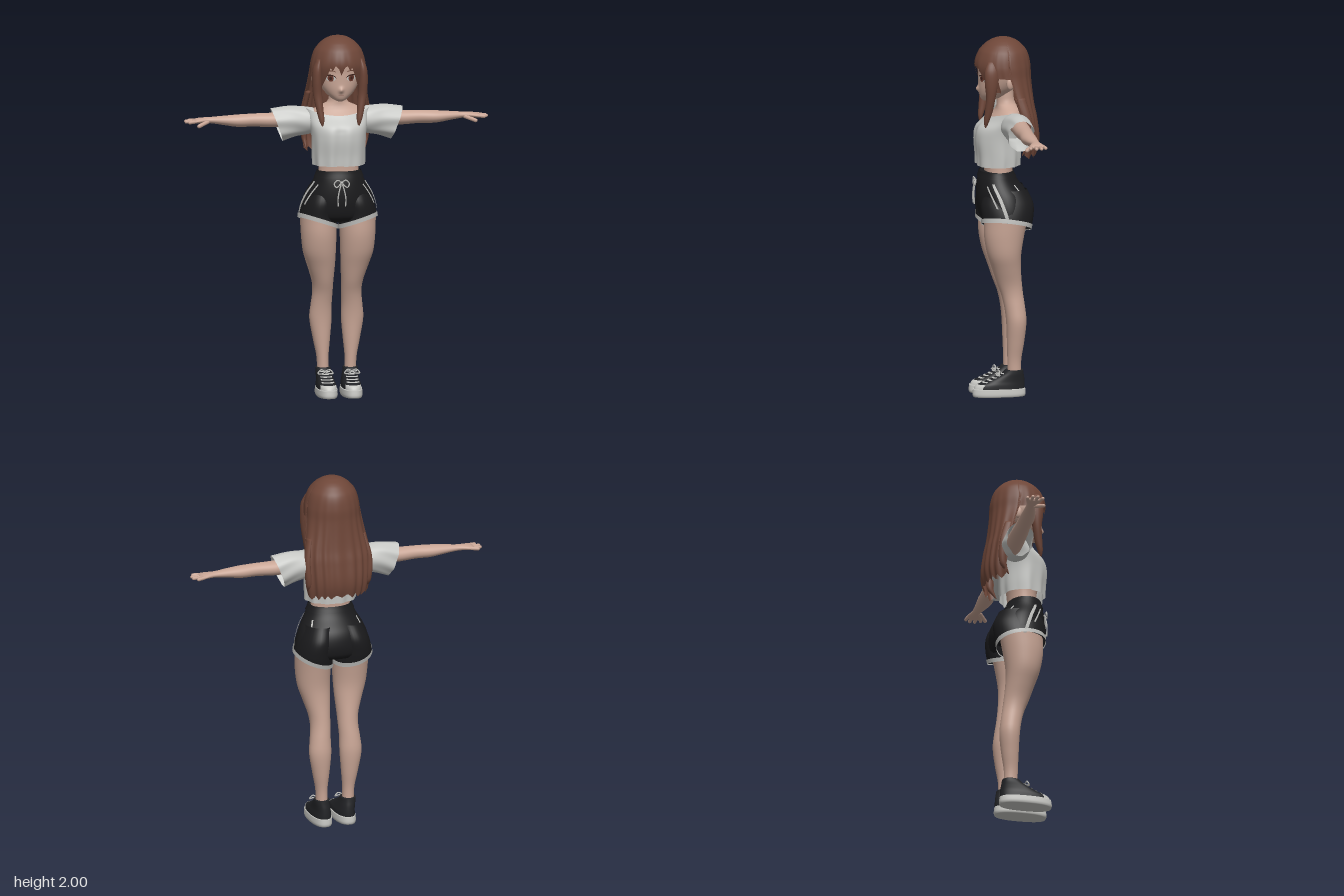
import * as THREE from 'three';

const mat = (name, color) => {
  const m = new THREE.MeshStandardMaterial({ color, side: THREE.DoubleSide });
  m.name = name;
  return m;
};
const TAU = Math.PI * 2;
const clamp = THREE.MathUtils.clamp;
const V = (x, y, z) => new THREE.Vector3(x, y, z);

// Smooth cross-section at height y; rows are [y, centreX, halfWidth, zFront, zBack]
function section(rows, y) {
  let i = 0;
  while (i < rows.length - 2 && y > rows[i + 1][0]) i++;
  const at = k => rows[clamp(k, 0, rows.length - 1)];
  const p = at(i - 1), a = at(i), b = at(i + 1), q = at(i + 2);
  const h = b[0] - a[0], t = clamp((y - a[0]) / h, 0, 1), t2 = t * t, t3 = t2 * t;
  return [1, 2, 3, 4].map(k => {
    const m0 = (b[k] - p[k]) / (b[0] - p[0]) * h, m1 = (q[k] - a[k]) / (q[0] - a[0]) * h;
    return (2 * t3 - 3 * t2 + 1) * a[k] + (t3 - 2 * t2 + t) * m0 + (3 * t2 - 2 * t3) * b[k] + (t3 - t2) * m1;
  });
}

// Skin through the rows; angle 0 is the front, rising towards +x. With `angle` it makes an open patch.
function loft(rows, o = {}) {
  const seg = o.seg ?? 36, n = o.n ?? 28, cols = o.angle ? seg + 1 : seg, pos = [], idx = [];
  const power = o.power ?? 1, inf = o.inflate ?? 0;
  const bend = v => Math.sign(v) * Math.abs(v) ** power;
  for (let j = 0; j <= n; j++) for (let i = 0; i < cols; i++) {
    const t = o.ease ? o.ease(j / n) : j / n;
    const a = o.angle ? o.angle(i / seg, t) : i / seg * TAU;
    const [y0, y1] = o.range ? o.range(a) : [rows[0][0], rows[rows.length - 1][0]];
    const y = y0 + (y1 - y0) * t, [cx, hw, zf, zb] = section(rows, y);
    const p = V(cx + (hw + inf) * bend(Math.sin(a)), y, (zf + zb) / 2 + ((zf - zb) / 2 + inf) * bend(Math.cos(a)));
    if (o.warp) o.warp(p, a, t);
    pos.push(p.x, p.y, p.z);
  }
  for (let j = 0; j < n; j++) for (let i = 0; i < seg; i++) {
    const k = (i + 1) % cols, a = j * cols + i, b = j * cols + k;
    idx.push(a, b, b + cols, a, b + cols, a + cols);
  }
  if (o.cap) for (const j of [0, n]) {
    const c = pos.length / 3, m = V(0, 0, 0);
    for (let i = 0; i < cols; i++) m.add(V(...pos.slice((j * cols + i) * 3, (j * cols + i) * 3 + 3)));
    m.divideScalar(cols);
    pos.push(m.x, m.y, m.z);
    for (let i = 0; i < seg; i++) {
      const a = j * cols + i, b = j * cols + (i + 1) % cols;
      j ? idx.push(c, a, b) : idx.push(c, b, a);
    }
  }
  const g = new THREE.BufferGeometry();
  g.setAttribute('position', new THREE.Float32BufferAttribute(pos, 3));
  g.setIndex(idx);
  g.computeVertexNormals();
  return g;
}

function mirrored(geo) {
  const g = geo.clone().scale(-1, 1, 1), ix = g.index.array;
  for (let i = 0; i < ix.length; i += 3) [ix[i], ix[i + 1]] = [ix[i + 1], ix[i]];
  return g;
}
function finger(a, b, r) {
  const d = b.clone().sub(a), g = new THREE.CapsuleGeometry(r, d.length(), 4, 10);
  g.applyQuaternion(new THREE.Quaternion().setFromUnitVectors(V(0, 1, 0), d.clone().normalize()));
  return g.translate((a.x + b.x) / 2, (a.y + b.y) / 2, (a.z + b.z) / 2);
}
const cord = (pts, r) => new THREE.TubeGeometry(new THREE.CatmullRomCurve3(pts.map(p => V(...p))), 24, r, 6);

export function createModel() {
  const root = new THREE.Group();
  root.name = 'girl';
  const skin = mat('skin', 0xc8a595), hair = mat('brown hair', 0x6e4638), cloth = mat('shirt grey', 0xc6c7c4);
  const black = mat('shorts black', 0x1a1a1c), trim = mat('trim white', 0xbcbcb9), shoe = mat('shoe black', 0x222326);
  const rubber = mat('rubber white', 0xc6c6c2), iris = mat('eye brown', 0x6b3a2e), lash = mat('lash dark', 0x3c221b);
  const lip = mat('lip', 0xa97c70);
  const add = (name, geo, m) => {
    const mesh = new THREE.Mesh(geo, m);
    mesh.name = name;
    root.add(mesh);
  };
  const pair = (name, geo, m) => {
    add(name + 'Left', geo, m);
    add(name + 'Right', mirrored(geo), m);
  };

  // Torso and neck
  add('torso', loft([[1.2, 0, .115, .115, -.04], [1.3, 0, .11, .115, -.045], [1.4, 0, .12, .13, -.06],
    [1.5, 0, .135, .12, -.08], [1.56, 0, .15, .08, -.092], [1.595, 0, .125, .05, -.088],
    [1.625, 0, .06, .045, -.06], [1.66, 0, .048, .045, -.05], [1.74, 0, .047, .05, -.045]]), skin);

  // Legs
  pair('leg', loft([[.1, .075, .033, -.004, -.08], [.2, .078, .033, -.003, -.08], [.3, .083, .047, 0, -.095],
    [.42, .088, .062, .005, -.107], [.5, .085, .058, .015, -.1], [.57, .08, .056, .032, -.09],
    [.63, .082, .06, .055, -.083], [.72, .093, .077, .085, -.075], [.8, .104, .091, .112, -.075],
    [.9, .108, .098, .13, -.09], [1, .11, .1, .13, -.11]], { n: 40 }), skin);

  // Arms are lofted upright and laid along x
  const lay = g => g.rotateZ(-Math.PI / 2);
  pair('arm', lay(loft([[.1, -1.535, .048, 0, -.095], [.2, -1.53, .044, 0, -.097], [.36, -1.525, .04, -.005, -.098],
    [.46, -1.527, .036, -.01, -.092], [.55, -1.525, .034, -.009, -.094], [.63, -1.528, .025, -.022, -.09],
    [.7, -1.53, .017, -.038, -.088], [.73, -1.53, .016, -.035, -.092], [.77, -1.528, .014, -.02, -.105],
    [.795, -1.525, .01, -.023, -.104]], { n: 40, cap: true })), skin);
  [[-.096, .812, -.104], [-.075, .832, -.078], [-.053, .833, -.05], [-.032, .818, -.02]].forEach(([z, tip, z2], i) =>
    pair('finger' + (i + 1), finger(V(.775, 1.527, z), V(tip, 1.524, z2), .0095), skin));
  pair('thumb', finger(V(.715, 1.522, -.045), V(.768, 1.505, -.006), .011), skin);

  // Head with a small nose
  const headRows = [[1.646, 0, .015, .118, .08], [1.655, 0, .036, .13, .045], [1.67, 0, .056, .138, .01],
    [1.69, 0, .077, .143, -.02], [1.72, 0, .099, .147, -.06], [1.76, 0, .117, .147, -.09], [1.8, 0, .126, .147, -.1],
    [1.87, 0, .122, .148, -.105], [1.93, 0, .09, .11, -.08], [1.97, 0, .03, .05, -.03]];
  const nose = p => {
    if (p.z > .05) p.z += .015 * Math.exp(-((p.x / .013) ** 2) - ((p.y - 1.712) / .015) ** 2);
  };
  add('head', loft(headRows, { seg: 96, n: 56, cap: true, warp: nose }), skin);
  const ear = new THREE.SphereGeometry(1, 16, 12).scale(.014, .034, .022).rotateY(.35).translate(.128, 1.757, -.012);
  pair('ear', ear, skin);

  // Face details lie on the head surface; lower and upper give the outline over s in -1..1
  const decal = (x, y, w, lower, upper, inflate) => {
    const hw = section(headRows, y)[1], a = k => Math.asin((x + k * w) / hw), a0 = a(-1), a1 = a(1);
    return loft(headRows, {
      seg: 16, n: 6, inflate, warp: nose, angle: s => a0 + (a1 - a0) * s,
      range: q => {
        const s = clamp((q - a0) / (a1 - a0) * 2 - 1, -1, 1), c = Math.sqrt(1 - s * s);
        return [y + lower(c), y + upper(c)];
      },
    });
  };
  pair('eyeWhite', decal(.057, 1.778, .027, c => -.016 * c, c => .017 * c, .0015), rubber);
  pair('iris', decal(.056, 1.778, .016, c => -.018 * c, c => .019 * c, .003), iris);
  pair('pupil', decal(.056, 1.779, .007, c => -.009 * c, c => .009 * c, .004), lash);
  pair('lash', decal(.058, 1.778, .031, c => .015 * c, c => .004 + .018 * c, .0045), lash);
  pair('eyebrow', decal(.057, 1.812, .027, c => .006 * c, c => .003 + .008 * c, .003), hair);
  add('mouth', decal(0, 1.686, .017, c => -.004 * c, c => .001 * c, .002), lip);

  // Hair: one shell whose lower edge forms the fringe, ear gaps and long back
  const edge = [[0, 1.795], [.1, 1.835], [.22, 1.85], [.32, 1.82], [.4, 1.84], [.6, 1.755], [.68, 1.71], [1.12, 1.71],
    [1.2, 1.79], [1.68, 1.785], [1.74, 1.335], [3.2, 1.345]];
  const hairEdge = a => {
    const q = Math.abs(a > Math.PI ? a - TAU : a);
    const i = Math.max(1, edge.findIndex(e => e[0] >= q)), [a0, y0] = edge[i - 1], [a1, y1] = edge[i];
    const saw = q > 1.74 ? .05 * Math.abs(((q * 3.3 + .3 * Math.sin(q * 5)) % 1) - .5) : 0;
    return y0 + (y1 - y0) * (q - a0) / (a1 - a0) + saw;
  };
  add('hair', loft([[1.3, 0, .165, .03, -.155], [1.42, 0, .185, .05, -.186], [1.55, 0, .193, .055, -.174],
    [1.62, 0, .187, .07, -.16], [1.7, 0, .17, .11, -.15], [1.78, 0, .157, .15, -.143], [1.85, 0, .151, .167, -.14],
    [1.92, 0, .13, .146, -.122], [1.96, 0, .098, .112, -.09], [1.98, 0, .072, .083, -.064],
    [1.99, 0, .052, .062, -.042], [1.995, 0, .037, .045, -.028], [2, 0, 0, .01, .01]], {
    seg: 200, n: 64, ease: t => Math.sin(t * Math.PI / 2), range: a => [hairEdge(a), 2],
    warp: (p, a) => {
      const k = 1 + .022 * Math.sin(a * 17 + Math.sin(a * 5)) * clamp((1.95 - p.y) / .4, 0, 1);
      p.x *= k;
      p.z *= k;
    },
  }), hair);
  pair('frontLock', loft([[1.505, .1, .002, .124, .12], [1.54, .104, .014, .132, .105], [1.6, .113, .02, .128, .085],
    [1.68, .124, .025, .122, .07], [1.76, .128, .027, .13, .055], [1.83, .125, .024, .13, .05],
    [1.88, .115, .01, .11, .06]], { seg: 20, cap: true }), hair);
  pair('sideStrand', loft([[1.36, .165, .002, -.07, -.075], [1.42, .172, .016, -.085, -.125],
    [1.55, .178, .018, -.07, -.125], [1.68, .155, .014, -.03, -.09]], { seg: 14, cap: true }), hair);

  // Cropped off-shoulder shirt
  add('shirt', loft([[1.288, 0, .145, .166, -.085], [1.34, 0, .147, .168, -.088], [1.44, 0, .15, .176, -.09],
    [1.5, 0, .157, .162, -.096], [1.55, 0, .168, .108, -.102], [1.6, 0, .178, .066, -.108]], {
    seg: 96, n: 36, range: a => [1.288, 1.562 + .033 * Math.sin(a) ** 2],
    warp: (p, a) => {
      const low = clamp((1.5 - p.y) / .2, 0, 1);
      if (p.z > 0) p.z -= .016 * Math.exp(-((p.x / .035) ** 2)) * clamp((1.56 - p.y) / .08, 0, 1);
      p.z += .004 * low * Math.sin(a * 11);
      p.x += .003 * low * Math.sin(a * 9);
    },
  }), cloth);
  pair('sleeve', lay(loft([[.13, -1.522, .07, .045, -.112], [.18, -1.522, .078, .045, -.116],
    [.25, -1.518, .085, .034, -.116], [.333, -1.5, .09, .03, -.116]], {
    seg: 60, warp: (p, a, t) => {
      p.y -= .033 * Math.sin(a) * t;
      p.z += .004 * Math.sin(a * 7 + t * 4) * t;
    },
  })), cloth);

  // Shorts: hips, two short legs with a slanted hem, waistband and white piping
  const hipRows = [[.975, 0, .195, .11, -.115], [1, 0, .21, .137, -.136], [1.06, 0, .205, .153, -.143],
    [1.13, 0, .182, .158, -.125], [1.2, 0, .143, .153, -.07], [1.255, 0, .118, .138, -.04]];
  add('shortsHips', loft(hipRows, { seg: 56, cap: true }), black);
  add('waistband', loft(hipRows, { seg: 56, n: 4, inflate: .005, range: () => [1.222, 1.257] }), black);
  const legRows = [[.92, .113, .109, .142, -.122], [1, .112, .105, .144, -.14], [1.08, .1, .096, .147, -.144],
    [1.16, .08, .08, .12, -.11]];
  const hem = a => .96 + .035 * Math.sin(a) + .02 * Math.cos(a);
  pair('shortsLeg', loft(legRows, { range: a => [hem(a), 1.16] }), black);
  pair('hemTrim', loft(legRows, { seg: 48, n: 4, inflate: .004, range: a => [hem(a) - .004, hem(a) + .02] }), trim);
  const piping = (name, y0, y1, a0, a1, w) => pair(name, loft(hipRows, {
    seg: 3, n: 16, inflate: .008, range: () => [y0, y1], angle: (s, t) => a0 + (a1 - a0) * t + (s - .5) * w,
  }), trim);
  piping('sidePiping', .99, 1.2, 1.5, 1.2, .13);
  piping('pocketPiping', 1.07, 1.185, 1.16, .9, .07);
  piping('backPocketPiping', 1.1, 1.19, 2.25, 2.2, .07);

  // Drawstring bow
  pair('bowLoop', cord([[0, 1.2, .162], [.022, 1.215, .17], [.042, 1.195, .168], [.03, 1.175, .172], [0, 1.2, .166]], .004), trim);
  pair('stringEnd', cord([[0, 1.2, .165], [.013, 1.16, .172], [.022, 1.11, .174], [.02, 1.07, .172]], .004), trim);
  add('bowKnot', new THREE.SphereGeometry(.009, 12, 8).translate(0, 1.2, .165), trim);

  // Sneakers
  pair('sole', loft([[0, .069, .054, .185, -.1], [.012, .069, .058, .19, -.105], [.045, .069, .056, .186, -.103]],
    { seg: 48, n: 8, power: .8, cap: true }), rubber);
  const upper = [[.035, .069, .054, .182, -.1], [.065, .069, .052, .165, -.1], [.085, .07, .048, .12, -.099],
    [.105, .072, .045, .075, -.097], [.128, .075, .042, .03, -.093], [.148, .076, .04, .008, -.09]];
  pair('shoeUpper', loft(upper, { seg: 48, power: .85, cap: true }), shoe);
  pair('toeCap', loft(upper, { seg: 24, n: 8, power: .85, inflate: .004, range: () => [.035, .07],
    angle: s => (s - .5) * 1.7 }), rubber);
  for (const y of [.08, .092, .104, .116, .128])
    pair('lace', loft(upper, { seg: 10, n: 2, power: .85, inflate: .006, range: () => [y, y + .005],
      angle: s => (s - .5) * 1.3 }), trim);
  for (const d of [-1, 1])
    pair('laceBow', cord([[.074, .132, .035], [.074 + d * .025, .142, .045], [.074 + d * .042, .122, .05],
      [.074 + d * .02, .122, .06], [.074, .13, .04]], .004), trim);
  return root;
}
